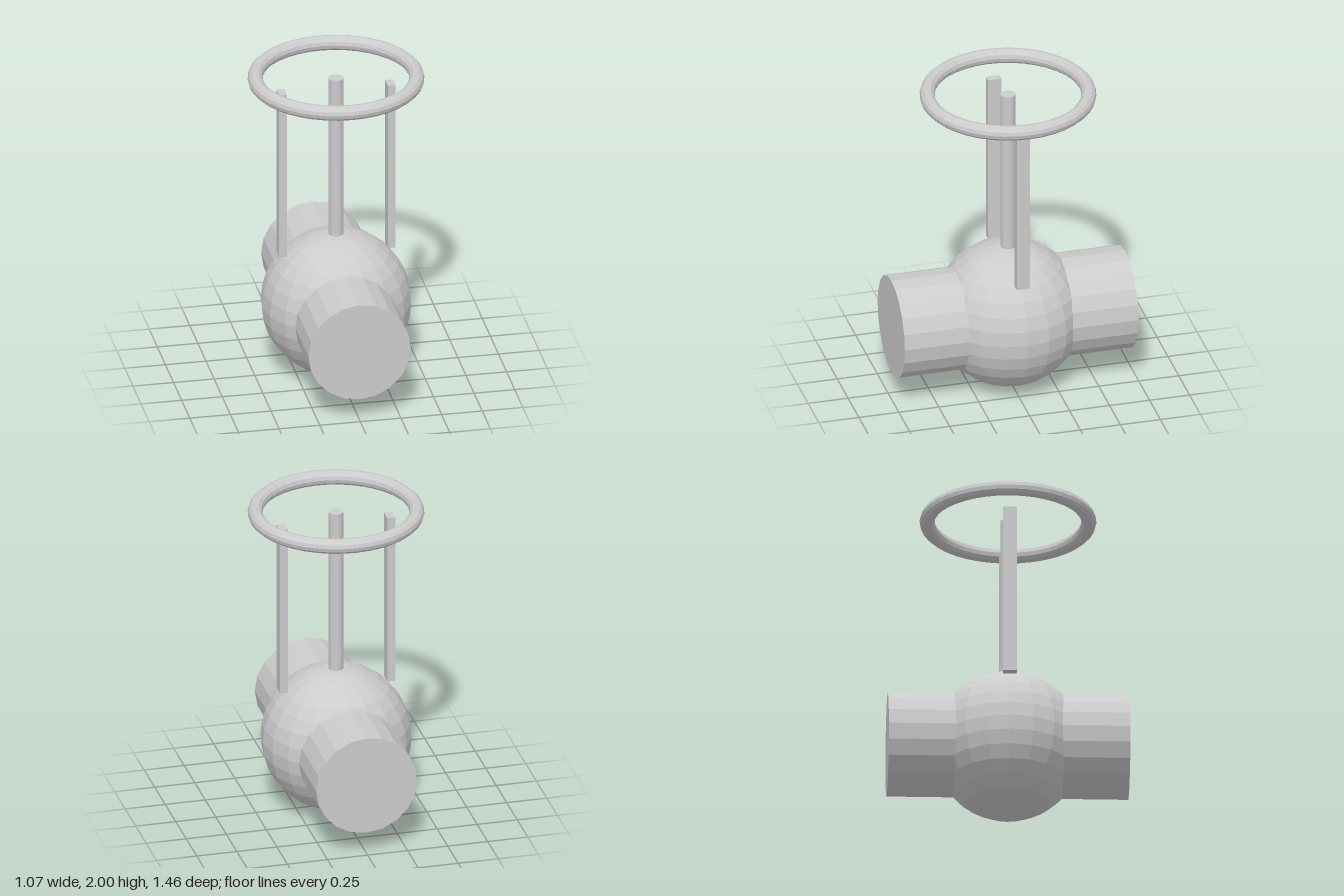
import * as THREE from 'three';

export function createModel() {
  const group = new THREE.Group();
  const material = new THREE.MeshStandardMaterial({ color: 0xcccccc, flatShading: true });

  function add(name, geometry, x, y, z) {
    const mesh = new THREE.Mesh(geometry, material);
    mesh.name = name;
    mesh.position.set(x, y, z);
    group.add(mesh);
    return mesh;
  }

  const bodyY = 0.459;

  // Round valve body
  add('valveBody', new THREE.SphereGeometry(0.456, 20, 16), 0, bodyY, 0);

  // Pipe running front to back through the body
  const pipe = new THREE.CylinderGeometry(0.315, 0.315, 1.46, 20).rotateX(Math.PI / 2);
  pipe.rotateZ(Math.PI / 2);
  add('pipe', pipe, 0, bodyY, 0);

  // Stem from the body up to the middle of the wheel
  const stemBottom = 0.46, stemTop = 1.955;
  add('stem', new THREE.CylinderGeometry(0.046, 0.046, stemTop - stemBottom, 16),
    0, (stemBottom + stemTop) / 2, 0);

  // Yoke bars, one on each side of the stem
  for (const side of [-1, 1]) {
    add(side > 0 ? 'leftYokeBar' : 'rightYokeBar',
      new THREE.BoxGeometry(0.048, 1.09, 0.084), side * 0.335, 1.345, 0);
  }

  // Hand wheel rim
  const rim = new THREE.TorusGeometry(0.488, 0.046, 12, 40).rotateX(Math.PI / 2);
  add('handWheel', rim, 0, 1.954, 0);

  return group;
}
